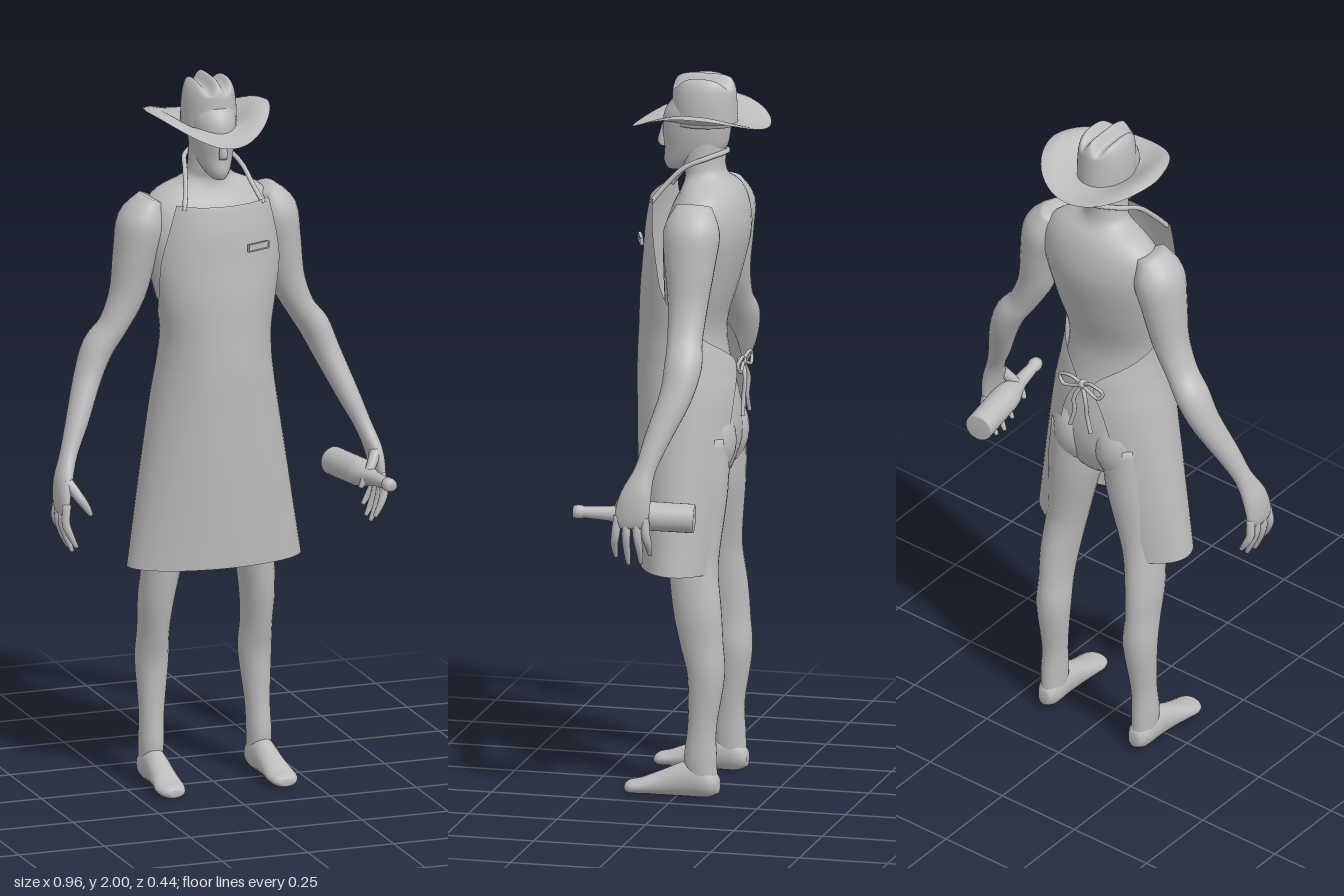
import * as THREE from 'three';

const grey = new THREE.MeshStandardMaterial({ color: 0xbcbcbc, side: THREE.DoubleSide });
grey.name = 'plain grey';

// Catmull-Rom smoothing of rows of numbers
function smooth(rows, n) {
  const out = [];
  const at = i => rows[Math.max(0, Math.min(rows.length - 1, i))];
  for (let i = 0; i < rows.length - 1; i++) {
    for (let k = 0; k < n; k++) {
      const t = k / n, [a, b, c, d] = [at(i - 1), at(i), at(i + 1), at(i + 2)];
      out.push(b.map((v, j) => v + 0.5 * t * (c[j] - a[j] + t * (2 * a[j] - 5 * v + 4 * c[j] - d[j]
        + t * (3 * (v - c[j]) + d[j] - a[j])))));
    }
  }
  out.push(rows[rows.length - 1].slice());
  return out;
}

// Grid of vertices from point(u index, v index); closed joins the v direction
function grid(nu, nv, point, closed) {
  const pos = [], idx = [], w = closed ? nv : nv - 1;
  for (let i = 0; i < nu; i++) for (let j = 0; j < nv; j++) pos.push(...point(i, j));
  for (let i = 0; i < nu - 1; i++) {
    for (let j = 0; j < w; j++) {
      const a = i * nv + j, b = a + nv, c = i * nv + (j + 1) % nv, d = c + nv;
      idx.push(a, b, c, b, d, c);
    }
  }
  const g = new THREE.BufferGeometry();
  g.setAttribute('position', new THREE.Float32BufferAttribute(pos, 3));
  g.setIndex(idx);
  g.computeVertexNormals();
  return g;
}

// Rounded limb through rows [x, y, z, sideRadius, upRadius]; axis fixes the ring direction
function sweep(rows, { axis, seg = 20, n = 4 } = {}) {
  const r = smooth(rows, n), last = r.length - 1;
  const cap = q => [...q.slice(0, 3), 1e-4, 1e-4];
  const rings = [cap(r[0]), ...r, cap(r[last])];
  const frames = rings.map((q, i) => {
    const k = Math.max(0, Math.min(last, i - 1)), p = r[Math.max(0, k - 1)], e = r[Math.min(last, k + 1)];
    const T = axis ? new THREE.Vector3(...axis)
      : new THREE.Vector3(e[0] - p[0], e[1] - p[1], e[2] - p[2]).normalize();
    const ref = Math.abs(T.z) > 0.8 ? new THREE.Vector3(0, 1, 0) : new THREE.Vector3(0, 0, 1);
    const side = T.clone().cross(ref).normalize();
    return [side, side.clone().cross(T)];
  });
  return grid(rings.length, seg, (i, j) => {
    const a = j / seg * Math.PI * 2, [x, y, z, ra, rb] = rings[i], [s, u] = frames[i];
    return new THREE.Vector3(x, y, z).addScaledVector(s, ra * Math.cos(a)).addScaledVector(u, rb * Math.sin(a)).toArray();
  }, true);
}

const tube = (pts, r) => new THREE.TubeGeometry(
  new THREE.CatmullRomCurve3(pts.map(p => new THREE.Vector3(...p))), 28, r, 8);

export function createModel() {
  const root = new THREE.Group();
  root.name = 'apronMan';
  const add = (name, geo) => {
    const m = new THREE.Mesh(geo, grey);
    m.name = name;
    root.add(m);
    return m;
  };
  const up = [0, 1, 0];

  // Torso and neck
  add('torso', sweep([
    [0, 0.89, -0.05, 0.09, 0.06], [0, 0.97, -0.05, 0.145, 0.085], [0, 1.07, -0.04, 0.152, 0.092],
    [0, 1.2, -0.02, 0.138, 0.082], [0, 1.3, -0.015, 0.135, 0.08], [0, 1.42, -0.03, 0.163, 0.1],
    [0, 1.55, -0.045, 0.188, 0.115], [0, 1.63, -0.053, 0.185, 0.1], [0, 1.68, -0.055, 0.145, 0.078],
    [0, 1.715, -0.045, 0.075, 0.06], [0, 1.75, -0.035, 0.058, 0.06], [0, 1.83, -0.035, 0.055, 0.062],
  ], { axis: up, seg: 32 }));

  // Head and nose
  add('head', sweep([
    [0, 1.728, 0.045, 0.018, 0.022], [0, 1.75, 0.022, 0.036, 0.055], [0, 1.79, -0.01, 0.053, 0.085],
    [0, 1.84, -0.015, 0.063, 0.095], [0, 1.89, -0.02, 0.066, 0.095], [0, 1.93, -0.03, 0.06, 0.08],
  ], { axis: up, seg: 28 }));
  add('nose', sweep([[0, 1.79, 0.078, 0.012, 0.01], [0, 1.805, 0.082, 0.012, 0.014],
    [0, 1.85, 0.074, 0.007, 0.01]], { axis: up, seg: 10 }));

  // Hat crown with two lengthwise creases
  const crown = sweep([
    [0, 1.86, -0.037, 0.075, 0.092], [0, 1.92, -0.037, 0.074, 0.09], [0, 1.965, -0.037, 0.067, 0.087],
    [0, 1.988, -0.037, 0.055, 0.078], [0, 1.997, -0.037, 0.04, 0.062], [0, 2, -0.037, 0.02, 0.035],
    [0, 2, -0.037, 0.002, 0.004],
  ], { axis: up, seg: 48, n: 5 });
  const p = crown.attributes.position;
  for (let i = 0; i < p.count; i++) {
    const x = p.getX(i), y = p.getY(i), z = p.getZ(i);
    const top = THREE.MathUtils.smoothstep(y, 1.95, 1.995);
    const groove = Math.abs(x) < 0.05 ? Math.sin(x * Math.PI / 0.05) ** 2 : 0;
    p.setY(i, y - top * (0.024 * groove + 0.1 * Math.max(0, z - 0.0)));
  }
  crown.computeVertexNormals();
  add('hatCrown', crown);

  // Hat brim: pointed at the front, curled up at the sides
  add('hatBrim', grid(9, 56, (i, j) => {
    const t = i / 8, a = j / 56 * Math.PI * 2, s = Math.sin(a), c = Math.cos(a), f = Math.max(c, 0);
    const L = THREE.MathUtils.lerp;
    const curl = s * s * (0.075 * t - 0.035 * t ** 4);
    return [L(0.073 * s, 0.176 * s * (1 - 0.17 * f), t),
      1.868 + curl - (c > 0 ? 0.026 : 0.008) * c * c * t,
      L(-0.037 + 0.09 * c, -0.045 + (c > 0 ? 0.21 : 0.175) * c, t)];
  }, true));

  // Apron: rows of [height, half width, front z, back z, wrap angle]
  const rows = smooth([
    [1.67, 0.165, 0.105, -0.04, 0.95], [1.59, 0.178, 0.12, -0.08, 1.05], [1.5, 0.185, 0.128, -0.1, 1.2],
    [1.4, 0.172, 0.138, -0.1, 1.45], [1.3, 0.157, 0.143, -0.108, 2.05], [1.22, 0.16, 0.147, -0.13, 2.85],
    [1.18, 0.165, 0.148, -0.138, 2.95], [1.1, 0.178, 0.147, -0.148, 2.75], [0.9, 0.21, 0.143, -0.142, 2.55],
    [0.64, 0.25, 0.13, -0.12, 2.5],
  ], 5);
  add('apron', grid(rows.length, 49, (i, j) => {
    const [y, rx, zf, zb, A] = rows[i], k = j / 24 - 1, a = k * A;
    const hem = i / (rows.length - 1);
    return [rx * Math.sin(a), y - 0.012 * hem ** 6 * k * k - (i === 0 ? 0.008 * (1 - k * k) : 0),
      (zf + zb) / 2 + (zf - zb) / 2 * Math.cos(a)];
  }, false));

  // Name tag plate with a raised rim
  const tag = new THREE.Group();
  tag.name = 'nameTag';
  const bar = (w, h, d, x, y, z) => {
    const m = new THREE.Mesh(new THREE.BoxGeometry(w, h, d), grey);
    m.name = 'tagPart';
    m.position.set(x, y, z);
    tag.add(m);
  };
  bar(0.07, 0.02, 0.006, 0, 0, 0);
  for (const s of [-1, 1]) {
    bar(0.07, 0.003, 0.004, 0, s * 0.009, 0.004);
    bar(0.003, 0.02, 0.004, s * 0.034, 0, 0.004);
  }
  tag.position.set(0.087, 1.545, 0.12);
  tag.rotation.y = 0.34;
  root.add(tag);

  // Neck strap and waist bow
  add('neckStrap', tube([[-0.115, 1.655, 0.085], [-0.098, 1.7, 0.05], [-0.082, 1.75, 0], [-0.06, 1.775, -0.06],
    [0, 1.785, -0.102], [0.06, 1.775, -0.06], [0.082, 1.75, 0], [0.098, 1.7, 0.05], [0.115, 1.655, 0.085]], 0.007));
  add('bowKnot', new THREE.SphereGeometry(0.014, 12, 8)).position.set(0, 1.195, -0.142);

  for (const s of [1, -1]) {
    const side = s > 0 ? 'left' : 'right';
    const limb = (name, r, o) => add(side + name, sweep(r.map(([x, ...q]) => [x * s, ...q]), o));

    add(side + 'BowLoop', tube([[0, 1.195, -0.143], [s * 0.035, 1.215, -0.153], [s * 0.075, 1.2, -0.15],
      [s * 0.06, 1.178, -0.153], [0, 1.195, -0.147]], 0.005));
    add(side + 'BowTail', tube([[0, 1.195, -0.145], [s * 0.02, 1.15, -0.156], [s * 0.022, 1.1, -0.152],
      [s * 0.036, 1.05, -0.154]], 0.006));

    // Leg and foot
    limb('Buttock', [[0.07, 0.9, -0.07, 0.045, 0.045], [0.07, 0.96, -0.075, 0.065, 0.066],
      [0.07, 1.03, -0.07, 0.065, 0.066], [0.07, 1.1, -0.05, 0.04, 0.045]], { axis: up });
    limb('Leg', [
      [0.085, 1.0, -0.05, 0.072, 0.08], [0.1, 0.85, -0.045, 0.074, 0.082], [0.122, 0.7, -0.04, 0.058, 0.072],
      [0.135, 0.62, -0.042, 0.053, 0.068], [0.147, 0.52, -0.055, 0.048, 0.067], [0.15, 0.43, -0.068, 0.043, 0.06],
      [0.15, 0.34, -0.08, 0.046, 0.052], [0.154, 0.2, -0.07, 0.035, 0.04], [0.157, 0.11, -0.066, 0.034, 0.046],
      [0.157, 0.05, -0.07, 0.032, 0.044],
    ], { seg: 24 });
    limb('Foot', [
      [0.156, 0.036, -0.118, 0.018, 0.022], [0.157, 0.045, -0.09, 0.034, 0.044], [0.158, 0.05, -0.03, 0.035, 0.05],
      [0.16, 0.036, 0.04, 0.037, 0.035], [0.163, 0.024, 0.1, 0.042, 0.022], [0.163, 0.02, 0.132, 0.034, 0.018],
      [0.16, 0.018, 0.145, 0.018, 0.01],
    ], { axis: [0, 0, 1] });

    // Arm and palm
    limb('Arm', [
      [0.165, 1.665, -0.05, 0.03, 0.05], [0.19, 1.6, -0.05, 0.066, 0.078], [0.21, 1.51, -0.05, 0.06, 0.07],
      [0.232, 1.4, -0.05, 0.05, 0.055], [0.273, 1.31, -0.052, 0.04, 0.049], [0.315, 1.25, -0.058, 0.043, 0.052],
      [0.35, 1.17, -0.045, 0.038, 0.045], [0.395, 1.06, -0.005, 0.031, 0.035], [0.428, 0.98, 0.02, 0.024, 0.029],
      [0.452, 0.91, 0.04, 0.023, 0.044], [0.46, 0.85, 0.05, 0.018, 0.048], [0.458, 0.825, 0.05, 0.013, 0.042],
    ], { seg: 24 });

    // Fingers and thumb
    [[0.088, 0.1, 0.735], [0.063, 0.065, 0.715], [0.037, 0.03, 0.72], [0.013, 0.004, 0.745]].forEach(([z0, z1, y], i) =>
      limb('Finger' + (i + 1), [[0.458, 0.855, z0, 0.012, 0.012], [0.463, 0.805, (z0 + z1) / 2, 0.012, 0.012],
        [0.452, (y + 0.805) / 2, z1, 0.01, 0.01], [0.434, y, z1, 0.006, 0.006]], { seg: 10 }));
    limb('Thumb', [[0.45, 0.915, 0.065, 0.016, 0.018], [0.425, 0.875, 0.092, 0.014, 0.014],
      [0.405, 0.845, 0.1, 0.011, 0.011], [0.392, 0.822, 0.1, 0.006, 0.006]], { seg: 10 });
  }

  // Bottle held in the left hand
  const profile = [[0, 0], [0.037, 0], [0.04, 0.004], [0.04, 0.15], [0.037, 0.175], [0.026, 0.205], [0.02, 0.235],
    [0.016, 0.305], [0.019, 0.308], [0.019, 0.322], [0.016, 0.334], [0, 0.334]];
  const bottle = add('bottle', new THREE.LatheGeometry(profile.map(q => new THREE.Vector2(...q)), 28));
  bottle.position.set(0.39, 0.843, -0.11);
  bottle.quaternion.setFromUnitVectors(new THREE.Vector3(0, 1, 0), new THREE.Vector3(0.05, 0.012, 0.33).normalize());

  return root;
}
